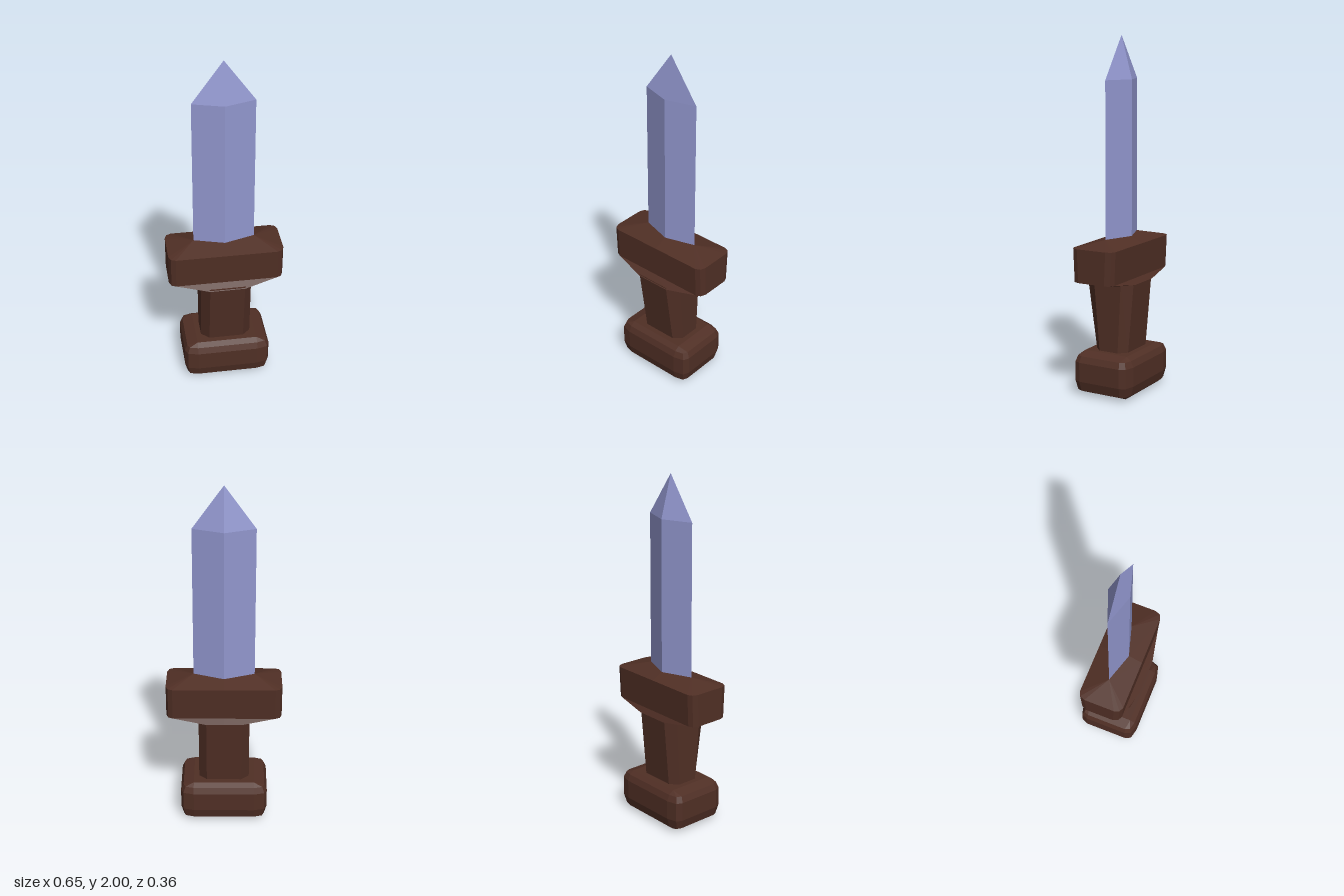
import * as THREE from 'three';

const wood = new THREE.MeshStandardMaterial({ color: 0x502f25 });
wood.name = 'dark wood';
const steel = new THREE.MeshStandardMaterial({ color: 0x9196cd });
steel.name = 'blue steel';

// Flat-shaded mesh from polygons; every polygon is fanned and carries one normal.
function facetMesh(name, polygons, material) {
  const positions = [], normals = [];
  for (const poly of polygons) {
    const n = new THREE.Vector3();
    const tris = [];
    for (let i = 1; i < poly.length - 1; i++) {
      const [a, b, c] = [poly[0], poly[i], poly[i + 1]];
      const cross = b.clone().sub(a).cross(c.clone().sub(a));
      if (cross.length() < 1e-9) continue;
      n.add(cross);
      tris.push(a, b, c);
    }
    n.normalize();
    for (const p of tris) {
      positions.push(p.x, p.y, p.z);
      normals.push(n.x, n.y, n.z);
    }
  }
  const geometry = new THREE.BufferGeometry();
  geometry.setAttribute('position', new THREE.Float32BufferAttribute(positions, 3));
  geometry.setAttribute('normal', new THREE.Float32BufferAttribute(normals, 3));
  const mesh = new THREE.Mesh(geometry, material);
  mesh.name = name;
  return mesh;
}

// Polygons joining rings stacked upwards; each ring runs from +x towards +z.
function loft(rings, capBottom = true, capTop = true) {
  const polygons = [];
  for (let r = 0; r < rings.length - 1; r++) {
    const low = rings[r], high = rings[r + 1];
    low.forEach((p, i) => {
      const j = (i + 1) % low.length;
      polygons.push([p, high[i], high[j], low[j]]);
    });
  }
  if (capBottom) polygons.push(rings[0]);
  if (capTop) polygons.push([...rings[rings.length - 1]].reverse());
  return polygons;
}

// Mirrors one corner (points from the x side to the z side) into a full ring.
// front and back are the z scales; mid adds optional centre points.
function ring(y, corner, { front = 1, back = 1, mid = null } = {}) {
  const v = (x, z) => new THREE.Vector3(x, y, z * (z > 0 ? front : back));
  const flip = [...corner].reverse();
  return [
    ...corner.map(([x, z]) => v(x, z)),
    ...(mid ? [new THREE.Vector3(0, y, mid[0])] : []),
    ...flip.map(([x, z]) => v(-x, z)),
    ...corner.map(([x, z]) => v(-x, -z)),
    ...(mid ? [new THREE.Vector3(0, y, mid[1])] : []),
    ...flip.map(([x, z]) => v(x, -z)),
  ];
}

// Rounded corner of a rectangle with half sizes hx, hz.
const rounded = (hx, hz, cx, cz, k) => [[hx, hz - cz], [hx - k, hz - k], [hx - cx, hz]];

export function createModel() {
  const model = new THREE.Group();
  model.name = 'dagger';

  // Pommel: chunky bevelled block
  const block = (y, hx, hz, s) => ring(y, rounded(hx, hz, 0.075 * s, 0.05 * s, 0.015 * s));
  model.add(facetMesh('pommel', loft([
    block(0, 0.175, 0.13, 0),
    block(0.025, 0.235, 0.163, 0.8),
    block(0.08, 0.25, 0.178, 1),
    block(0.19, 0.25, 0.178, 1),
    block(0.225, 0.235, 0.163, 0.8),
    block(0.245, 0.175, 0.135, 0),
  ]), wood));

  // Grip: eight-sided, getting deeper towards the guard
  const gripCorner = [[0.145, 0.058], [0.1, 0.1]];
  model.add(facetMesh('grip', loft([
    ring(0.23, gripCorner),
    ring(0.645, gripCorner, { front: 1.6, back: 1.36 }),
  ]), wood));

  // Guard: rounded bar, flaring into the grip below and tapering to the blade above
  const bladeMid = [0.052, -0.066];
  const bladeX = 0.173;
  const guardBar = (y, hx, hz) =>
    ring(y, rounded(hx, hz, 0.038, 0.042, 0.012), { mid: [hz, -hz] });
  model.add(facetMesh('guard', loft([
    ring(0.637, [[0.145, 0.095], [0.125, 0.13], [0.1, 0.15]],
      { front: 1.09, back: 0.95, mid: [0.1635, -0.1425] }),
    guardBar(0.668, 0.327, 0.124),
    guardBar(0.855, 0.327, 0.132),
    ring(0.89, [[bladeX, 0], [bladeX, 0], [bladeX, 0]], { mid: bladeMid }),
  ]), wood));

  // Blade: diamond section with a pointed tip stepped back on the front
  const diamond = (y) => [[bladeX, 0], [0, bladeMid[0]], [-bladeX, 0], [0, bladeMid[1]]]
    .map(([x, z]) => new THREE.Vector3(x, y, z));
  const shoulder = diamond(1.76);
  const [left, front, right, back] = shoulder;
  const apex = new THREE.Vector3(0, 2, 0);
  model.add(facetMesh('blade', loft([diamond(0.87), shoulder], true, false), steel));
  model.add(facetMesh('bladeTip', [
    [right, front, left, apex],
    [left, back, apex],
    [back, right, apex],
  ], steel));

  return model;
}
